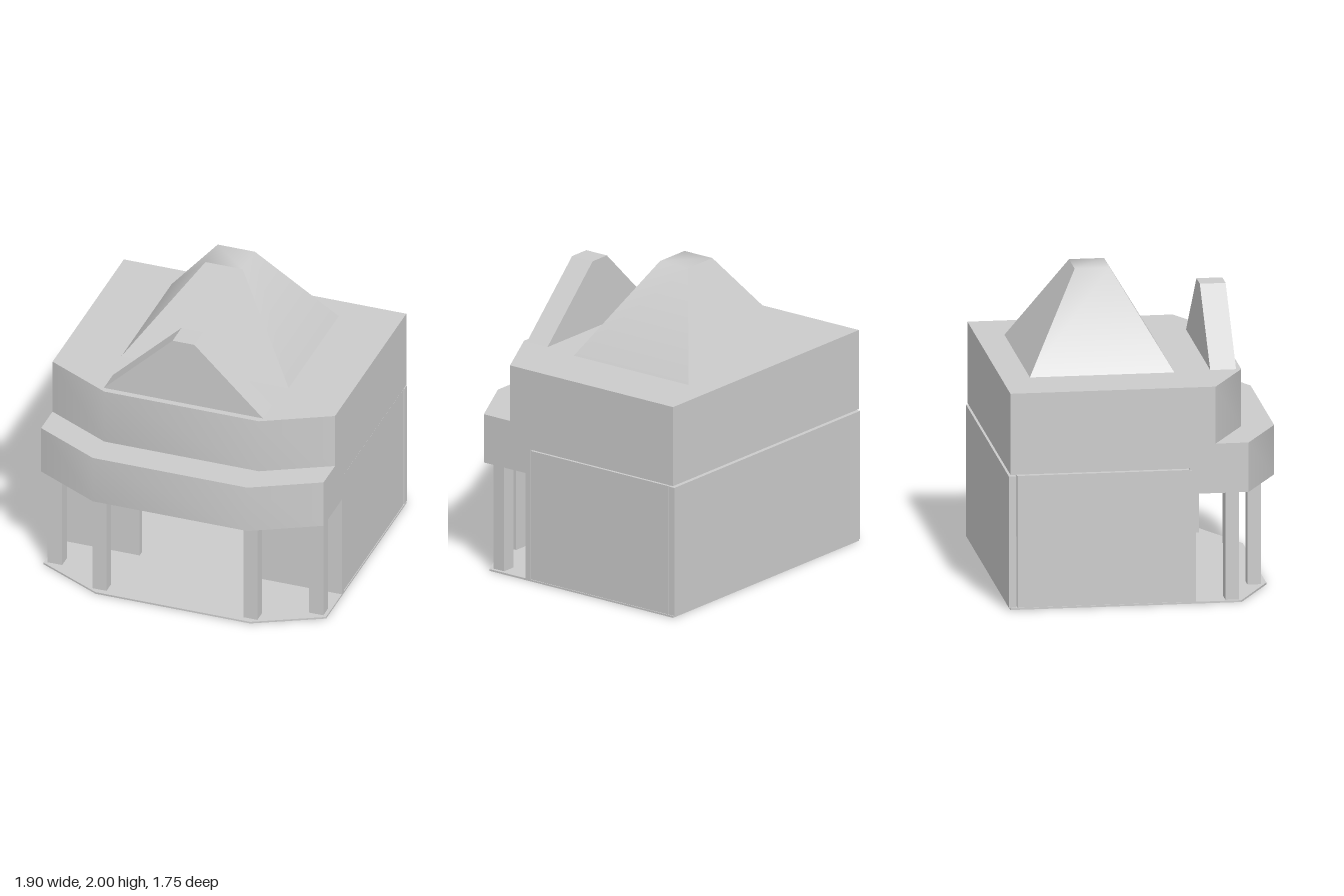
import * as THREE from 'three';
import { toCreasedNormals } from 'three/addons/utils/BufferGeometryUtils.js';

const material = new THREE.MeshStandardMaterial({ color: 0xcccccc });
const CREASE = 0.98;
const HALF = 0.95;   // half width of the building
const BACK = -0.865; // rear face

export function createModel() {
  const model = new THREE.Group();

  function add(name, geometry) {
    const mesh = new THREE.Mesh(geometry, material);
    mesh.name = name;
    model.add(mesh);
    return mesh;
  }

  // Box given by its limits on each axis
  function box(name, x0, x1, y0, y1, z0, z1) {
    const geometry = new THREE.BoxGeometry(x1 - x0, y1 - y0, z1 - z0);
    geometry.translate((x0 + x1) / 2, (y0 + y1) / 2, (z0 + z1) / 2);
    return add(name, geometry);
  }

  // Slab whose plan has two chamfered front corners
  function baySlab(name, y0, y1, back, shoulder, front) {
    const plan = new THREE.Shape([
      [-HALF, -back], [-HALF, -shoulder], [-0.52, -front],
      [0.52, -front], [HALF, -shoulder], [HALF, -back],
    ].map(([x, y]) => new THREE.Vector2(x, y)));
    const geometry = new THREE.ExtrudeGeometry(plan, { depth: y1 - y0, bevelEnabled: false });
    geometry.rotateX(-Math.PI / 2).translate(0, y0, 0);
    return add(name, toCreasedNormals(geometry, CREASE));
  }

  // Trapezoid in the front plane, extruded along z
  function trapezoid(base, top, y0, y1, z0, z1) {
    const shape = new THREE.Shape([
      new THREE.Vector2(-base, y0), new THREE.Vector2(base, y0),
      new THREE.Vector2(top, y1), new THREE.Vector2(-top, y1),
    ]);
    return new THREE.ExtrudeGeometry(shape, { depth: z1 - z0, bevelEnabled: false })
      .translate(0, 0, z0);
  }

  // Floor and ground-storey walls, with narrow joints between the panels
  baySlab('floor', 0, 0.012, BACK, 0.61, 0.83);
  box('backWall', -HALF, HALF, 0.015, 0.87, -0.875, -0.83);
  for (const s of [-1, 1]) {
    const side = s < 0 ? 'right' : 'left';
    const span = (a, b) => (s < 0 ? [-b, -a] : [a, b]);
    box(side + 'SideWall', ...span(0.9, 0.945), 0.012, 0.87, -0.82, 0.28);
    box(side + 'FrontWall', ...span(0.41, s < 0 ? 0.954 : HALF), 0.012, 0.87, 0.28, 0.32);
    // Porch columns
    box(side + 'OuterColumn', ...span(0.83, 0.927), 0.012, 0.715, 0.51, 0.597);
    box(side + 'InnerColumn', ...span(0.46, 0.555), 0.012, 0.715, 0.705, 0.792);
  }

  // Upper storey, stepped forward above the porch
  baySlab('porchCanopy', 0.715, 1.037, 0.28, 0.655, 0.88);
  box('upperStoreyBase', -HALF, HALF, 0.88, 1.037, BACK, 0.28);
  baySlab('upperStorey', 1.037, 1.408, BACK, 0.445, 0.67);

  // Front gable
  const gable = trapezoid(0.535, 0.073, 1.412, 1.86, 0.47, 0.635);
  add('frontGable', gable);

  // Hipped roof: the trapezoid's ends lean in towards the short ridge
  const roof = trapezoid(0.562, 0.125, 1.412, 2, -0.685, 0.237);
  const p = roof.attributes.position;
  for (let i = 0; i < p.count; i++) {
    if (p.getY(i) > 1.9) p.setZ(i, p.getZ(i) > 0 ? -0.112 : -0.336);
  }
  add('hippedRoof', toCreasedNormals(roof, CREASE));

  return model;
}
